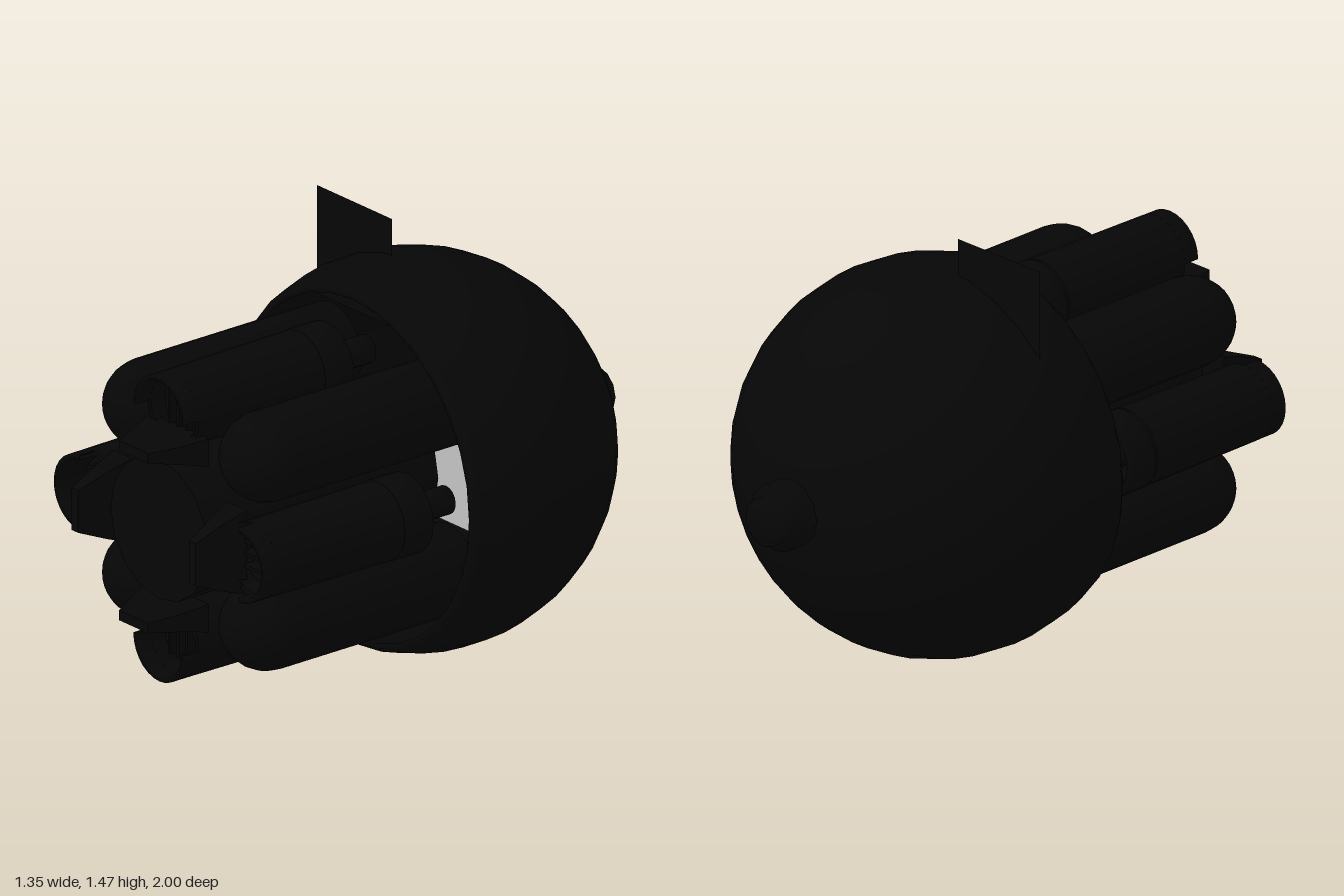
import * as THREE from 'three';

const CY = 0.678; // height of the long axis

export function createModel() {
  const model = new THREE.Group();
  const black = new THREE.MeshStandardMaterial({ color: 0x060606, side: THREE.DoubleSide });
  black.name = 'black hull';
  const light = new THREE.MeshStandardMaterial({ color: 0xc4c4c4, side: THREE.DoubleSide });
  light.name = 'light panel';

  const body = new THREE.Group();
  body.name = 'body';
  body.position.y = CY;
  model.add(body);

  const add = (parent, name, geo, x = 0, y = 0, z = 0, mat = black) => {
    const m = new THREE.Mesh(geo, mat);
    m.name = name;
    m.position.set(x, y, z);
    parent.add(m);
    return m;
  };
  // Revolved profile of [radius, z] points, axis along z
  const turned = (pts, seg = 24, start = 0, sweep = Math.PI * 2) =>
    new THREE.LatheGeometry(pts.map(p => new THREE.Vector2(p[0], p[1])), seg, start, sweep).rotateX(Math.PI / 2);

  // Domed shell, open at the front
  const shell = [], inner = [];
  const a0 = -Math.PI / 2, a1 = Math.asin(0.24 / 0.677);
  for (let i = 0; i <= 16; i++) {
    const a = a0 + (a1 - a0) * i / 16;
    shell.push([Math.max(0, 0.677 * Math.cos(a)), -0.2 + 0.677 * Math.sin(a)]);
    inner.push([Math.max(0, 0.65 * Math.cos(a)), -0.2 + 0.65 * Math.sin(a)]);
  }
  add(body, 'domeShell', turned(shell, 32));
  add(body, 'domeLining', turned(inner, 32));
  add(body, 'domeRim', turned([[shell[16][0], shell[16][1]], [0.618, 0.06], [0.6, 0.06], [inner[16][0], inner[16][1]]], 32));

  // Stepped rear port
  add(body, 'rearPort', turned([[0, -1], [0.083, -1], [0.083, -0.95], [0.117, -0.945], [0.117, -0.84]], 12));

  // Central core
  const core = new THREE.CylinderGeometry(0.25, 0.25, 0.99, 16).rotateX(Math.PI / 2);
  add(body, 'core', core, 0, 0, 0.395);

  // Four round-ended tanks
  const tankProfile = [[0, -0.1], [0.155, -0.1], [0.155, 0.68]];
  for (let i = 1; i <= 8; i++) {
    const a = i / 8 * Math.PI / 2;
    tankProfile.push([Math.max(0, 0.155 * Math.cos(a)), 0.68 + 0.16 * Math.sin(a)]);
  }
  for (const sx of [-1, 1]) for (const sy of [-1, 1])
    add(body, 'tank', turned(tankProfile), 0.3 * sx, 0.3 * sy, 0);

  // Tapered plate at the mouth of each pod: half width, bottom, top at three depths
  const plateGeo = () => {
    const g = new THREE.BoxGeometry(2, 1, 2, 1, 1, 2);
    const rows = [[0.8, 0.15, 0.245, 0.345], [0.89, 0.12, 0.265, 0.33], [1, 0.075, 0.285, 0.32]];
    const p = g.attributes.position;
    for (let i = 0; i < p.count; i++) {
      const [z, w, lo, hi] = rows[Math.round(p.getZ(i)) + 1];
      p.setXYZ(i, p.getX(i) * w, p.getY(i) < 0 ? lo : hi, z);
    }
    const flat = g.toNonIndexed();
    flat.computeVertexNormals();
    return flat;
  };

  // Four hollow thruster pods around the core
  for (let k = 0; k < 4; k++) {
    const pod = new THREE.Group();
    pod.name = 'thrusterPod';
    pod.rotation.z = k * Math.PI / 2;
    body.add(pod);
    const r = 0.41;
    add(pod, 'podTube', turned([[0.138, 0.29], [0.133, 0.83]]), 0, r, 0);
    add(pod, 'podLiner', turned([[0.118, 0.29], [0.116, 0.83]]), 0, r, 0);
    // outer half of the pod reaches further forward
    const hood = turned([[0.116, 0.83], [0.116, 0.89], [0.133, 0.89], [0.133, 0.83]], 14, Math.PI / 2, Math.PI);
    add(pod, 'podHood', hood, 0, r, 0);
    add(pod, 'podBand', turned([[0.115, 0.17], [0.14, 0.17], [0.14, 0.28], [0.115, 0.28]]), 0, r, 0);
    add(pod, 'podJoint', turned([[0.118, 0.27], [0.118, 0.3]]), 0, r, 0);
    add(pod, 'podRod', turned([[0, 0], [0.05, 0], [0.05, 0.1], [0.035, 0.1], [0.035, 0.13], [0.05, 0.13], [0.05, 0.6], [0, 0.62]], 16), 0, r, 0);
    add(pod, 'podStrut', new THREE.BoxGeometry(0.07, 0.16, 0.1), 0, 0.32, 0.23);
    add(pod, 'podRing', new THREE.TorusGeometry(0.085, 0.012, 8, 20), 0, r, 0.78);
    for (const x of [-0.045, 0, 0.045])
      add(pod, 'podVane', new THREE.BoxGeometry(0.012, 0.17, 0.1), x, r - 0.015, 0.76);
    add(pod, 'mouthPlate', plateGeo());
  }

  // Flat square panels
  const panel = (name, x, y, mat) =>
    add(model, name, new THREE.PlaneGeometry(0.385, 0.385), x, y, -0.18, mat);
  panel('upperPanel', -0.278, 1.283, black);
  panel('rightPanel', -0.375, 0.68, black);
  panel('leftPanel', 0.302, 0.68, light);

  return model;
}
